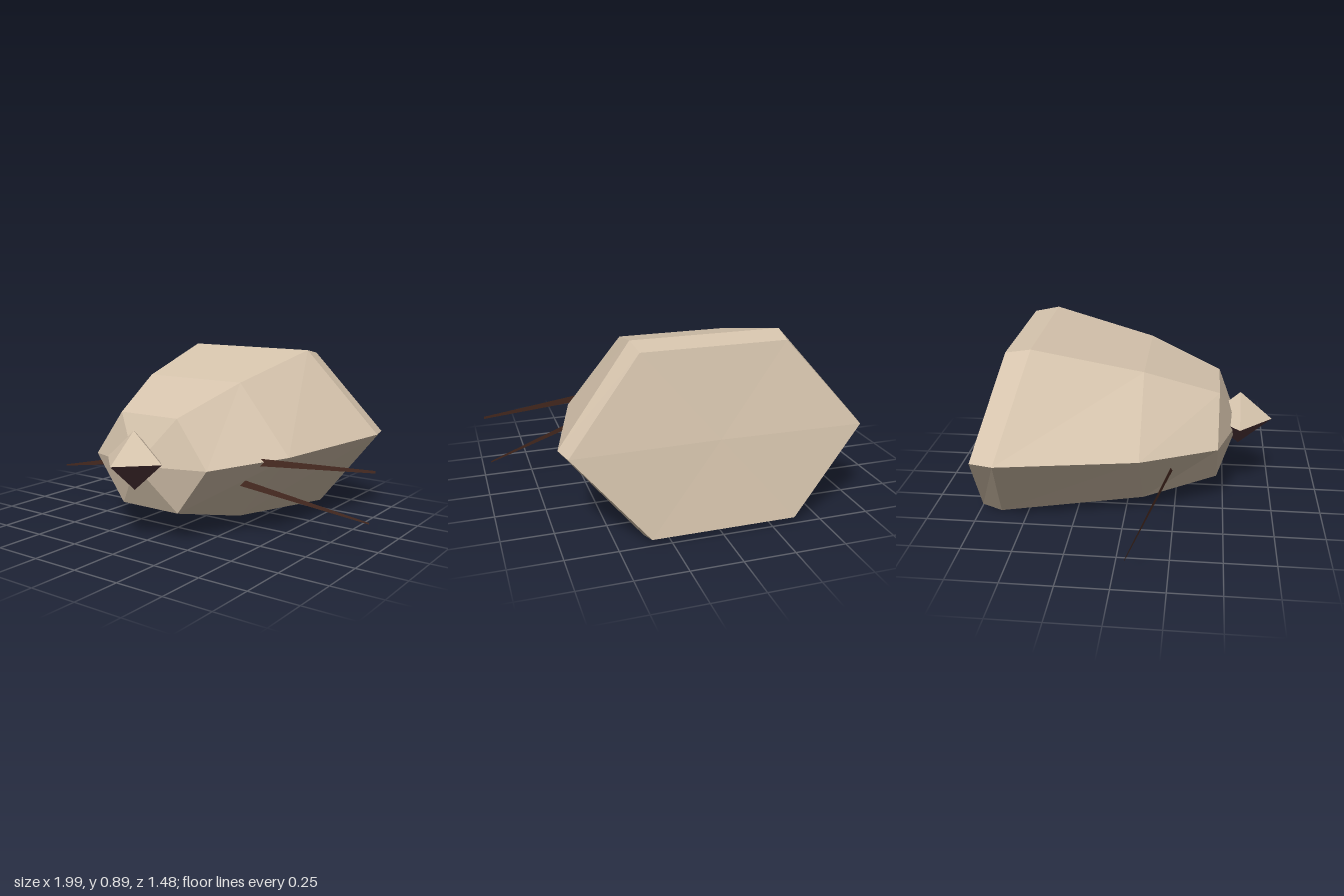
import * as THREE from 'three';

const tan = new THREE.MeshStandardMaterial({ color: 0xd6c4ad, flatShading: true });
tan.name = 'tan';
const plum = new THREE.MeshStandardMaterial({ color: 0x55383e, flatShading: true });
plum.name = 'dark plum';
const brown = new THREE.MeshStandardMaterial({ color: 0x4a2c22, flatShading: true, side: THREE.DoubleSide });
brown.name = 'dark brown';

const CX = -0.012; // symmetry plane

// Six-sided ring: w = half width, then [y, z] of its top, middle and bottom
function hexRing(w, top, mid, low) {
  return [[w, mid], [w / 2, top], [-w / 2, top], [-w, mid], [-w / 2, low], [w / 2, low]]
    .map(([x, [y, z]]) => [x, y, z]);
}

// Faceted shell through the rings, closed by a fan at each end
function loft(rings, frontTip, backTip) {
  const pos = [];
  const tri = (...pts) => pts.forEach((p) => pos.push(...p));
  const first = rings[0], last = rings[rings.length - 1];
  for (let j = 0; j < 6; j++) {
    const k = (j + 1) % 6;
    tri(frontTip, first[j], first[k]);
    for (let i = 0; i + 1 < rings.length; i++) {
      const a = rings[i], b = rings[i + 1];
      tri(a[j], b[j], b[k]);
      tri(a[j], b[k], a[k]);
    }
    tri(backTip, last[k], last[j]);
  }
  const g = new THREE.BufferGeometry();
  g.setAttribute('position', new THREE.Float32BufferAttribute(pos, 3));
  g.computeVertexNormals();
  return g;
}

// Upright tapering blade from root to tip
function blade(root, tip, h0, h1) {
  const [a, b, c, d] = [[root, -h0], [tip, -h1], [tip, h1], [root, h0]]
    .map(([p, dy]) => [p[0], p[1] + dy, p[2]]);
  const g = new THREE.BufferGeometry();
  g.setAttribute('position', new THREE.Float32BufferAttribute([a, b, c, a, c, d].flat(), 3));
  g.computeVertexNormals();
  return g;
}

export function createModel() {
  const model = new THREE.Group();
  const add = (name, geometry, material, x = CX, y = 0, z = 0) => {
    const mesh = new THREE.Mesh(geometry, material);
    mesh.name = name;
    mesh.position.set(x, y, z);
    model.add(mesh);
    return mesh;
  };

  // Head, widening toward a tilted back
  add('head', loft([
    hexRing(0.345, [0.62, 0.46], [0.388, 0.46], [0.155, 0.46]),
    hexRing(0.57, [0.76, 0.09], [0.415, 0.09], [0.072, 0.09]),
    hexRing(0.737, [0.886, -0.443], [0.443, -0.565], [0, -0.64]),
    hexRing(0.71, [0.862, -0.57], [0.443, -0.68], [0.025, -0.74]),
  ], [0, 0.388, 0.567], [0, 0.443, -0.665]), tan);

  // Nose: pale upper and dark lower half of an octahedron
  const half = new THREE.ConeGeometry(0.169, 0.145, 4, 1, true);
  add('noseTop', half, tan, CX, 0.416 + 0.0725, 0.571);
  add('noseBottom', half, plum, CX, 0.416 - 0.0725, 0.571).rotation.x = Math.PI;

  // Whiskers
  for (const [side, label] of [[1, 'left'], [-1, 'right']]) {
    add(label + 'LowerWhisker',
      blade([side * 0.31, 0.315, 0.26], [side * 0.987, 0.155, 0.065], 0.02, 0.004), brown);
  }
  add('leftUpperWhisker', blade([0.38, 0.404, 0.24], [1.005, 0.402, 0.06], 0.021, 0.006), brown);

  return model;
}
